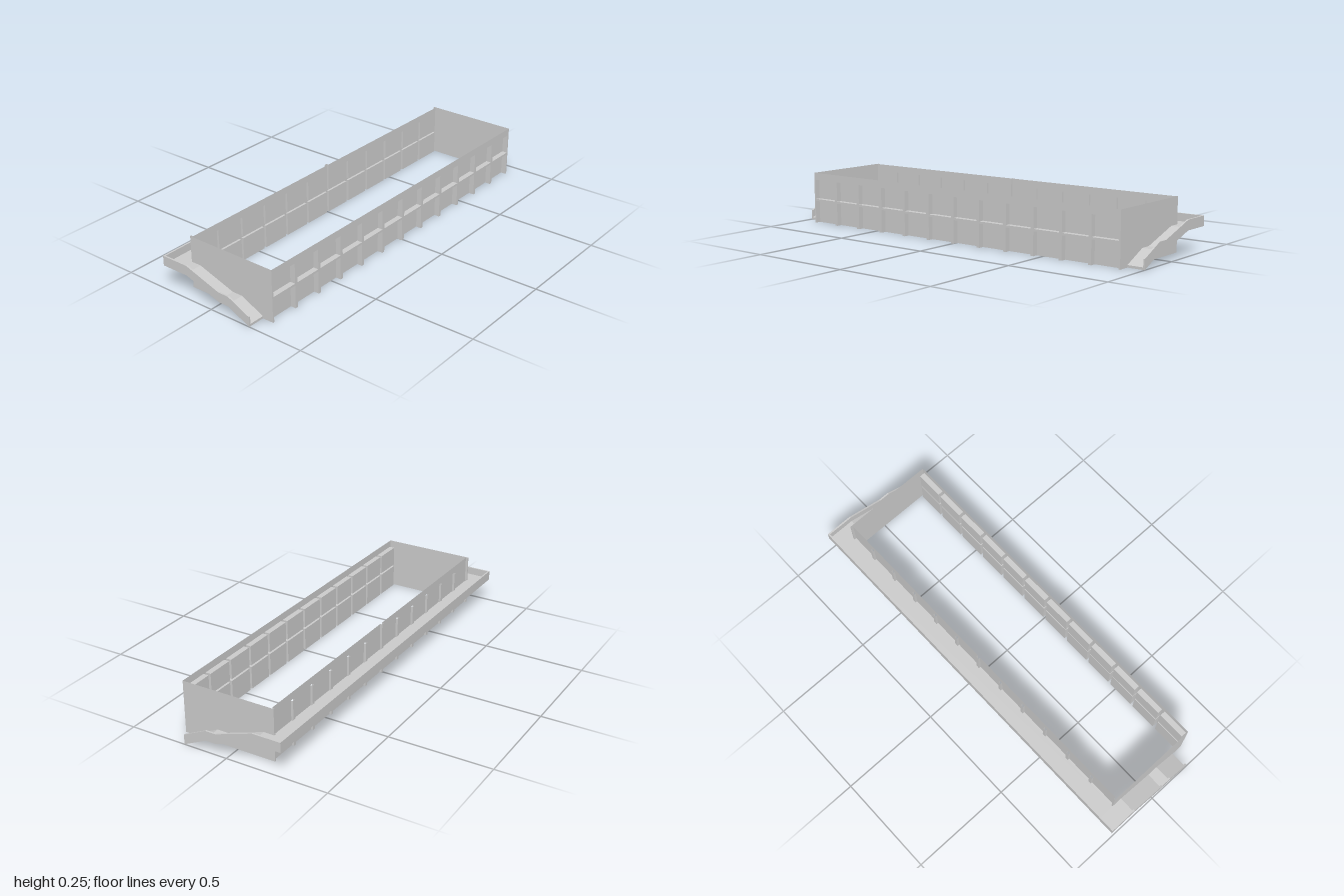
import * as THREE from 'three';
import { mergeGeometries } from 'three/addons/utils/BufferGeometryUtils.js';

const HALF = 0.915, TOP = 0.255, PANEL_TOP = 0.22, BAY = HALF / 6, RIB = 0.0075;
const ROWS = [[0, 0.112], [0.122, PANEL_TOP]];
const FRONT = 0.277, BACK = -0.19;
const material = new THREE.MeshStandardMaterial({ color: 0xcccccc, side: THREE.DoubleSide, flatShading: true });

function mesh(name, geometry) {
  const m = new THREE.Mesh(geometry, material);
  m.name = name;
  return m;
}

// Flat sheets facing along z, x and y
const sheetZ = (x0, x1, y0, y1, z) =>
  new THREE.PlaneGeometry(x1 - x0, y1 - y0).translate((x0 + x1) / 2, (y0 + y1) / 2, z);
const sheetX = (x, y0, y1, z0, z1) =>
  new THREE.PlaneGeometry(Math.abs(z1 - z0), y1 - y0).rotateY(Math.PI / 2).translate(x, (y0 + y1) / 2, (z0 + z1) / 2);
const sheetY = (x0, x1, y, z0, z1) =>
  new THREE.PlaneGeometry(x1 - x0, Math.abs(z1 - z0)).rotateX(-Math.PI / 2).translate((x0 + x1) / 2, y, (z0 + z1) / 2);

// Long wall of recessed panels between hollow ribs and a middle bar
function panelWall(name, zOut, zIn, isFront) {
  const group = new THREE.Group();
  group.name = name;
  const ribs = [], panels = [], bars = [];

  for (let i = -6; i <= 6; i++) {
    const x = i * BAY;
    const tall = !isFront && i % 6 === 0;
    const top = tall ? TOP : PANEL_TOP;
    ribs.push(sheetZ(Math.max(x - RIB, -HALF), Math.min(x + RIB, HALF), 0, top, zOut));
    for (const side of [-1, 1]) {
      const sx = x + side * RIB;
      if (Math.abs(sx) > HALF) continue;
      for (const [y0, y1] of ROWS) ribs.push(sheetX(sx, y0, y1, zIn, zOut));
      if (tall) ribs.push(sheetX(sx, PANEL_TOP, TOP, zIn, zOut));
    }
  }

  for (let i = -6; i < 6; i++) {
    const x0 = i * BAY + RIB, x1 = (i + 1) * BAY - RIB;
    for (const [y0, y1] of ROWS) panels.push(sheetZ(x0, x1, y0, y1, zIn));
    bars.push(sheetZ(x0, x1, ROWS[0][1], ROWS[1][0], zOut));
    for (const y of [ROWS[0][1], ROWS[1][0]]) bars.push(sheetY(x0, x1, y, zIn, zOut));
    if (isFront) bars.push(sheetY(x0, x1, PANEL_TOP, zIn, zOut));
  }

  // Plain band along the top, split on the back by the tall ribs
  const band = isFront
    ? [sheetZ(-HALF, HALF, PANEL_TOP, TOP, zOut)]
    : [sheetZ(-HALF + RIB, -RIB, PANEL_TOP, TOP, zIn), sheetZ(RIB, HALF - RIB, PANEL_TOP, TOP, zIn)];

  group.add(
    mesh('ribs', mergeGeometries(ribs)),
    mesh('panels', mergeGeometries(panels)),
    mesh('ledges', mergeGeometries(bars)),
    mesh('topBand', mergeGeometries(band)),
  );
  return group;
}

// Extrudes a side profile given as [z, y] from xMin to xMax
function sideProfile(points, xMin, xMax) {
  const shape = new THREE.Shape(points.map(([z, y]) => new THREE.Vector2(z, y)));
  return new THREE.ExtrudeGeometry(shape, { depth: xMax - xMin, bevelEnabled: false })
    .rotateY(-Math.PI / 2).translate(xMax, 0, 0);
}

function box(x0, x1, y0, y1, z0, z1) {
  return new THREE.BoxGeometry(x1 - x0, y1 - y0, z1 - z0)
    .translate((x0 + x1) / 2, (y0 + y1) / 2, (z0 + z1) / 2);
}

export function createModel() {
  const model = new THREE.Group();
  model.name = 'panelledEnclosure';

  model.add(panelWall('frontWall', FRONT, 0.25, true));
  model.add(panelWall('backWall', BACK, -0.179, false));

  // Stepped ramp: underside line, raised to give the floor and the parapet
  const under = [[0.22, 0], [0.103, 0.055], [0.05, 0.055], [-0.137, 0.117], [-0.277, 0.117]];
  const raised = (h) => [...under, ...under.map(([z, y]) => [z, y + h]).reverse()];

  for (const [side, s] of [['left', 1], ['right', -1]]) {
    model.add(mesh(side + 'EndWall', sheetX(s * HALF, 0, TOP, BACK, FRONT)));
    const span = (a, b) => (s > 0 ? [a, b] : [-b, -a]);
    model.add(mesh(side + 'Ramp', sideProfile(raised(0.011), ...span(HALF, 0.992))));
    model.add(mesh(side + 'RampParapet', sideProfile(raised(0.048), ...span(0.992, 1))));
  }

  // Raised walkway behind the back wall
  model.add(mesh('backWalkway', box(-HALF, HALF, 0.117, 0.128, -0.277, BACK)));
  model.add(mesh('backParapet', box(-0.992, 0.992, 0.117, 0.165, -0.277, -0.269)));
  return model;
}
